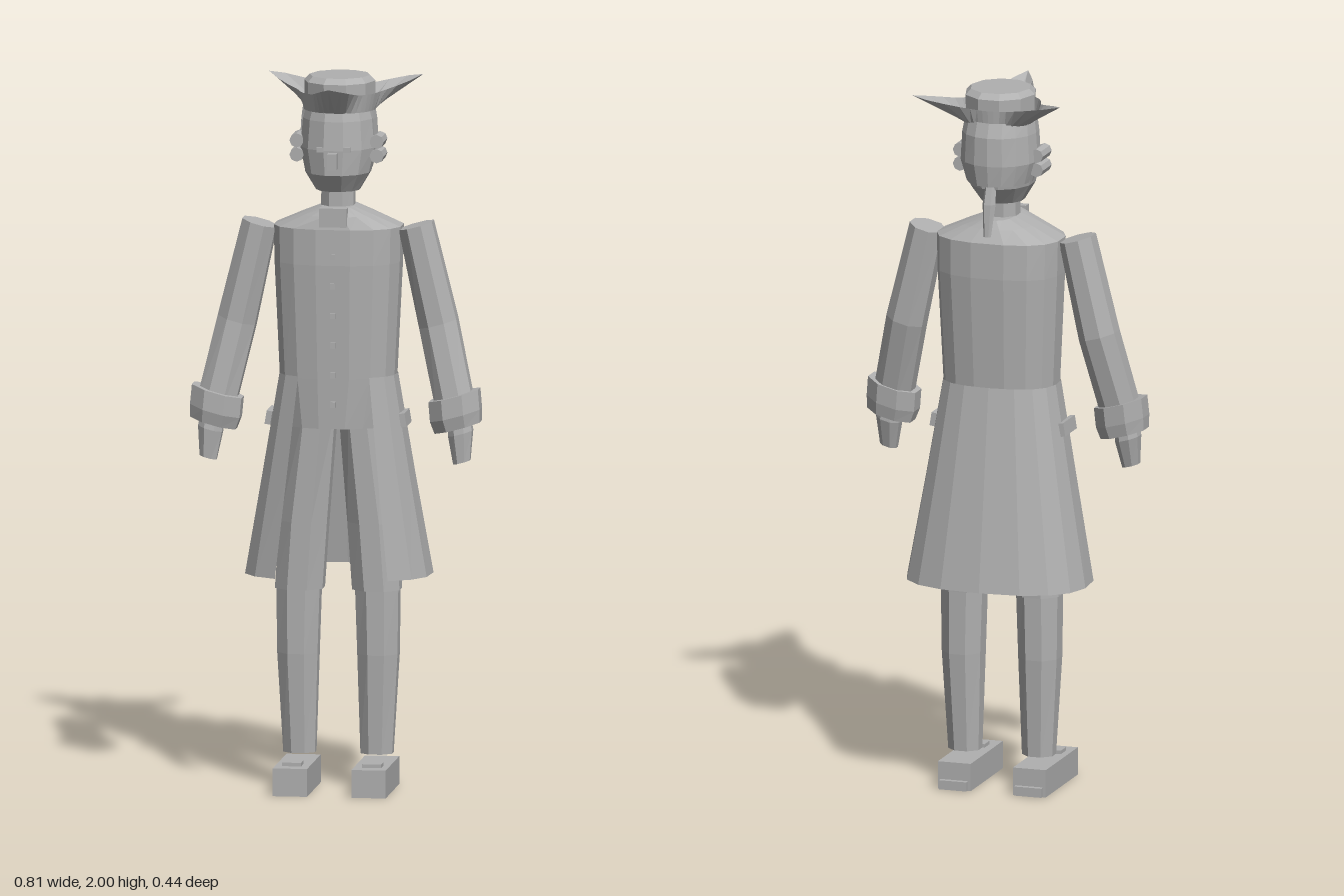
import * as THREE from 'three';

export function createModel() {
  const root = new THREE.Group();
  root.name = 'figure';
  const grey = new THREE.MeshStandardMaterial({ color: 0xb0b0b0, flatShading: true, side: THREE.DoubleSide });
  grey.name = 'plain grey';

  function add(name, geometry, x = 0, y = 0, z = 0) {
    const mesh = new THREE.Mesh(geometry, grey);
    mesh.name = name;
    mesh.position.set(x, y, z);
    root.add(mesh);
    return mesh;
  }
  const box = (name, w, h, d, x, y, z) => add(name, new THREE.BoxGeometry(w, h, d), x, y, z);

  // Skin through rings of points, from the bottom up; closed rings get end caps
  function skin(rings, closed = true) {
    const n = rings[0].length, pos = rings.flat(2), idx = [];
    for (let i = 0; i < rings.length - 1; i++) {
      for (let j = 0; j < (closed ? n : n - 1); j++) {
        const k = (j + 1) % n, a = i * n, b = a + n;
        idx.push(a + j, a + k, b + k, a + j, b + k, b + j);
      }
    }
    if (closed) {
      const top = (rings.length - 1) * n;
      for (let j = 1; j < n - 1; j++) idx.push(0, j + 1, j, top, top + j, top + j + 1);
    }
    const g = new THREE.BufferGeometry();
    g.setAttribute('position', new THREE.Float32BufferAttribute(pos, 3));
    g.setIndex(idx);
    const flat = g.toNonIndexed();
    flat.computeVertexNormals();
    return flat;
  }

  // One oval cross-section; power below 1 squares it off, tilt slopes it sideways
  function ring([y, cx, cz, rx, rz], n, { power = 1, tilt = 0, from = 0, to = 2 * Math.PI, open = false } = {}) {
    const pts = [];
    for (let j = 0; j < n; j++) {
      const a = from + (to - from) * (open ? j / (n - 1) : (j + 0.5) / n);
      const s = Math.sin(a), c = Math.cos(a);
      const dx = rx * Math.sign(s) * Math.abs(s) ** power;
      const dz = rz * Math.sign(c) * Math.abs(c) ** power;
      pts.push([cx + dx, y + tilt * dx, cz + dz]);
    }
    return pts;
  }
  const loft = (name, sections, n, opt = {}) =>
    add(name, skin(sections.map(s => ring(s, n, opt)), !opt.open));

  // Coat body with sloping shoulders
  loft('coatBody', [
    [1.02, -0.005, -0.01, 0.135, 0.1],
    [1.16, 0, -0.017, 0.163, 0.112],
    [1.48, 0, -0.021, 0.178, 0.127],
    [1.58, 0, -0.021, 0.18, 0.125],
    [1.615, 0, -0.012, 0.1, 0.108],
    [1.637, 0, -0.01, 0.045, 0.092],
  ], 16, { power: 0.8 });

  // Flared skirt, open at the front
  loft('coatSkirt', [
    [0.6, -0.003, -0.045, 0.262, 0.178],
    [0.88, -0.002, -0.031, 0.213, 0.147],
    [1.165, 0, -0.017, 0.165, 0.115],
  ], 15, { power: 0.8, from: 0.56, to: 2 * Math.PI - 0.56, open: true });

  // Buttons and neckcloth
  for (let i = 0; i < 6; i++) box('button', 0.014, 0.016, 0.014, 0, 1.09 + i * 0.083, 0.098);
  box('neckcloth', 0.078, 0.06, 0.025, 0, 1.61, 0.088);
  loft('neck', [[1.58, 0, -0.01, 0.05, 0.053], [1.71, 0, -0.01, 0.048, 0.052]], 8);

  for (const s of [1, -1]) {
    // Shoes
    box('shoe', 0.096, 0.078, 0.275, s * 0.11, 0.039, 0.035);
    box('shoeBuckle', 0.054, 0.016, 0.045, s * 0.112, 0.08, 0.105);
    box('shoeHeel', 0.08, 0.026, 0.02, s * 0.11, 0.015, -0.108);

    // Stockings and breeches
    loft('stocking', [
      [0.1, s * 0.108, -0.014, 0.048, 0.044],
      [0.38, s * 0.112, -0.015, 0.061, 0.064],
      [0.58, s * 0.11, -0.015, 0.066, 0.065],
    ], 8);
    loft('breeches', [
      [0.56, s * 0.108, -0.015, 0.072, 0.07],
      [0.75, s * 0.095, -0.015, 0.072, 0.075],
      [1.06, s * 0.062, -0.012, 0.062, 0.08],
    ], 8);

    // Sleeves bend slightly forward at the elbow
    const slope = { tilt: s * 0.27 };
    loft('sleeve', [
      [1.07, s * 0.337, 0.035, 0.056, 0.054],
      [1.31, s * 0.282, -0.006, 0.056, 0.062],
      [1.583, s * 0.219, -0.008, 0.05, 0.06],
    ], 8, slope);
    loft('cuff', [
      [1.025, s * 0.342, 0.036, 0.068, 0.06],
      [1.06, s * 0.336, 0.036, 0.075, 0.069],
      [1.115, s * 0.331, 0.033, 0.075, 0.069],
    ], 8, slope);
    loft('hand', [
      [0.93, s * 0.355, 0.054, 0.025, 0.026],
      [1.01, s * 0.35, 0.042, 0.036, 0.042],
      [1.04, s * 0.347, 0.04, 0.033, 0.038],
    ], 8, slope);

    // Pocket flaps
    box('pocketFlap', 0.016, 0.038, 0.1, s * 0.188, 1.042, -0.005).rotation.z = s * 0.16;

    // Eyes and rolled side curls
    box('eye', 0.02, 0.014, 0.01, s * 0.037, 1.803, 0.087);
    for (const y of [1.778, 1.818]) {
      const curl = new THREE.CylinderGeometry(0.02, 0.02, 0.076, 8).rotateX(Math.PI / 2);
      add('sideCurl', curl, s * 0.112, y, -0.013);
    }
  }

  // Head and nose
  loft('head', [
    [1.68, 0, -0.01, 0.062, 0.066],
    [1.73, 0, -0.014, 0.092, 0.108],
    [1.8, 0, -0.02, 0.107, 0.116],
    [1.88, 0, -0.022, 0.1, 0.11],
    [1.93, 0, -0.02, 0.085, 0.095],
  ], 12);
  box('nose', 0.026, 0.045, 0.035, 0, 1.773, 0.103);

  // Hair over the back of the head, and the pigtail
  loft('hair', [
    [1.74, 0, -0.024, 0.093, 0.112],
    [1.8, 0, -0.026, 0.111, 0.118],
    [1.88, 0, -0.026, 0.106, 0.116],
    [1.92, 0, -0.022, 0.1, 0.105],
  ], 11, { from: 1.25, to: 2 * Math.PI - 1.25, open: true });
  loft('pigtail', [
    [1.6, 0, -0.142, 0.011, 0.009],
    [1.69, 0, -0.126, 0.019, 0.018],
    [1.75, 0, -0.11, 0.015, 0.016],
  ], 6);

  // Hat crown
  loft('hatCrown', [
    [1.905, 0.004, -0.015, 0.098, 0.108],
    [1.985, 0.004, -0.015, 0.1, 0.11],
    [2.0, 0.004, -0.015, 0.085, 0.09],
  ], 10);

  // Turned-up brim drawn out into three points
  const inner = [], outer = [];
  const tips = [[0, 0.235], [2.13, 0.264], [-2.13, 0.264]];
  for (let j = 0; j < 42; j++) {
    const a = (j / 42) * 2 * Math.PI;
    let r = 0.112, y = 1.955;
    for (const [at, reach] of tips) {
      const off = Math.abs(Math.atan2(Math.sin(a - at), Math.cos(a - at)));
      const peak = Math.max(0, 1 - off / 0.75) ** 2;
      r += (reach - 0.112) * peak;
      y += 0.035 * peak;
    }
    inner.push([0.004 + 0.1 * Math.sin(a), 1.905, -0.015 + 0.106 * Math.cos(a)]);
    outer.push([0.004 + r * Math.sin(a), y, -0.015 + r * Math.cos(a)]);
  }
  // Repeat the first point so the open skin closes without caps
  add('hatBrim', skin([[...inner, inner[0]], [...outer, outer[0]]], false));

  return root;
}
